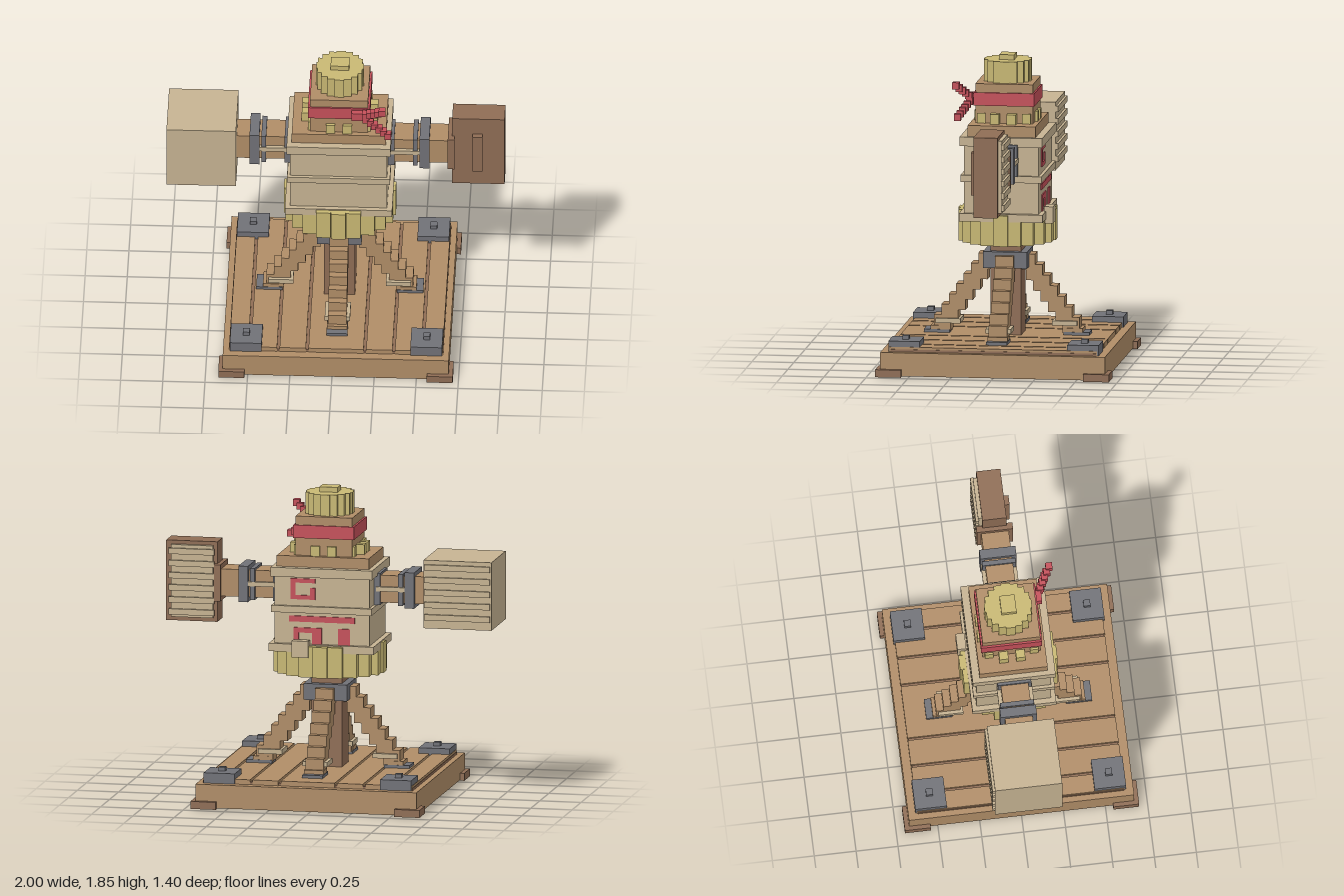
import * as THREE from 'three';

const mat = (name, color) => {
  const m = new THREE.MeshStandardMaterial({ color });
  m.name = name;
  return m;
};

export function createModel() {
  const wood = mat('wood', 0xb08d67);
  const darkWood = mat('dark wood', 0x8f6d55);
  const cloth = mat('cloth', 0xc6b392);
  const straw = mat('straw', 0xc8b873);
  const iron = mat('iron', 0x707177);
  const red = mat('red', 0xc5505a);

  const model = new THREE.Group();
  model.name = 'trainingDummy';
  const dummy = new THREE.Group(); // everything is built around its own axis
  dummy.name = 'dummy';
  dummy.position.x = 0.022;
  model.add(dummy);

  const group = (name, parent = dummy) => {
    const g = new THREE.Group();
    g.name = name;
    parent.add(g);
    return g;
  };
  // box given by its limits on each axis
  const box = (name, m, x0, x1, y0, y1, z0, z1, parent = dummy) => {
    const mesh = new THREE.Mesh(new THREE.BoxGeometry(x1 - x0, y1 - y0, z1 - z0), m);
    mesh.position.set((x0 + x1) / 2, (y0 + y1) / 2, (z0 + z1) / 2);
    mesh.name = name;
    parent.add(mesh);
    return mesh;
  };
  // box centred on the axis with half sizes
  const block = (name, m, hx, y0, y1, hz, parent) => box(name, m, -hx, hx, y0, y1, -hz, hz, parent);

  // base with planks, corner feet and studded plates
  const base = group('base');
  block('baseFrame', wood, 0.67, 0.005, 0.145, 0.672, base);
  block('plankBed', darkWood, 0.635, 0.145, 0.16, 0.615, base);
  const edges = [-0.64, -0.513, -0.342, -0.171, 0, 0.171, 0.342, 0.513, 0.64];
  for (let i = 0; i < 8; i++) {
    if (i === 4) continue;
    const x1 = i === 3 ? edges[5] : edges[i + 1];
    box('plank', wood, edges[i] + 0.008, x1 - 0.008, 0.145, 0.174, -0.62, 0.62, base);
  }
  for (const sx of [-1, 1]) for (const sz of [-1, 1]) {
    const c = group('baseCorner', base);
    c.position.set(sx * 0.535, 0, sz * 0.535);
    const f = block('cornerFoot', darkWood, 0.077, 0, 0.045, 0.077, c);
    f.position.x = sx * 0.083;
    f.position.z = sz * 0.087;
    block('cornerPlate', iron, 0.094, 0.146, 0.208, 0.094, c);
    block('cornerStud', iron, 0.02, 0.208, 0.232, 0.02, c);
  }

  // post with iron collars
  block('post', darkWood, 0.092, 0.16, 0.82, 0.092);
  block('postCollar', iron, 0.132, 0.578, 0.676, 0.132);
  block('hipCollar', iron, 0.1, 0.8, 0.9, 0.1);

  // four stepped struts
  for (let k = 0; k < 4; k++) {
    const s = group('strut');
    s.rotation.y = k * Math.PI / 2;
    const steps = 7;
    for (let i = 0; i < steps; i++) {
      const t = i / (steps - 1);
      const z = 0.12 + 0.265 * t, y = 0.605 - 0.375 * t;
      box('strutStep', wood, -0.055, 0.055, y - 0.045, y + 0.05, z - 0.05, z + 0.05, s);
    }
    box('strutWrap', cloth, -0.075, 0.075, 0.232, 0.26, 0.275, 0.422, s);
    box('strutFoot', wood, -0.06, 0.06, 0.17, 0.215, 0.36, 0.455, s);
    box('strutShoe', iron, -0.062, 0.062, 0.17, 0.192, 0.34, 0.495, s);
  }

  // ring of straw bundles on an oval
  const strawRing = (name, n, rx, rz, y0, y1, h, jag) => {
    const g = group(name);
    for (let i = 0; i < n; i++) {
      const a = (i / n) * Math.PI * 2;
      const x = Math.cos(a) * rx, z = Math.sin(a) * rz;
      box('strawBundle', straw, x - h, x + h, y0 + (i % 2) * jag, y1, z - h, z + h, g);
    }
  };
  strawRing('strawSkirt', 20, 0.288, 0.247, 0.74, 0.925, 0.044, 0);
  strawRing('strawSkirtInner', 14, 0.2, 0.17, 0.8, 0.92, 0.04, 0.03);

  // torso with bands
  block('torso', cloth, 0.287, 0.89, 1.37, 0.223);
  block('lowerBand', cloth, 0.318, 0.885, 0.932, 0.25);
  block('middleBand', cloth, 0.305, 1.12, 1.16, 0.243);
  block('upperBand', cloth, 0.308, 1.335, 1.39, 0.247);
  block('shoulders', wood, 0.279, 1.37, 1.455, 0.203);
  box('backPatch', cloth, 0.07, 0.17, 0.86, 0.96, -0.293, -0.24);

  // painted marks on the back
  const marks = group('backMarks');
  const paint = (x0, x1, y0, y1) => box('mark', red, x0, x1, y0, y1, -0.231, -0.222, marks);
  paint(0.04, 0.19, 1.3, 1.325);
  paint(0.16, 0.19, 1.2, 1.3);
  paint(0.04, 0.16, 1.2, 1.225);
  paint(0.04, 0.07, 1.225, 1.27);
  paint(-0.2, 0.2, 1.065, 1.1);
  paint(0, 0.17, 1.0, 1.03);
  paint(0.14, 0.17, 0.932, 1.0);
  paint(0, 0.06, 0.932, 1.0);
  paint(-0.17, -0.1, 0.932, 1.03);

  // head, headband and straw top
  block('head', wood, 0.172, 1.45, 1.69, 0.172);
  const tufts = group('neckTufts');
  for (const u of [-0.05, 0.05]) for (const s of [-1, 1]) {
    box('tuft', straw, u - 0.027, u + 0.027, 1.455, 1.515, s * 0.17 - 0.02, s * 0.17 + 0.02, tufts);
    box('tuft', straw, s * 0.2 - 0.025, s * 0.2 + 0.025, 1.455, 1.515, u - 0.027, u + 0.027, tufts);
    box('tuft', straw, s * 0.16 - 0.025, s * 0.16 + 0.025, 1.455, 1.515, u * 2.7 - 0.025, u * 2.7 + 0.025, tufts);
  }
  block('headband', red, 0.184, 1.56, 1.638, 0.182);
  strawRing('strawTop', 16, 0.113, 0.113, 1.685, 1.818, 0.028, 0);
  block('strawTopCore', straw, 0.09, 1.685, 1.818, 0.09);
  block('strawTopCap', straw, 0.055, 1.818, 1.848, 0.045);

  // knot and two loose ends
  const knot = group('headbandKnot');
  box('knot', red, 0.075, 0.145, 1.572, 1.625, 0.17, 0.213, knot);
  const knotStart = new THREE.Vector3(0.135, 1.598, 0.195);
  for (const [x, y, z, n] of [[0.26, 1.69, 0.275, 5], [0.293, 1.507, 0.26, 6]]) {
    const end = new THREE.Vector3(x, y, z);
    for (let i = 1; i <= n; i++) {
      const p = knotStart.clone().lerp(end, i / n), h = 0.02;
      box('knotTail', red, p.x - h, p.x + h, p.y - h, p.y + h, p.z - h, p.z + h, knot);
    }
  }

  // mirrored arms with iron rings and cloth ties
  for (const s of [-1, 1]) {
    const arm = group(s > 0 ? 'leftArm' : 'rightArm');
    const part = (name, m, a, b, hy, hz, y = 1.255) =>
      box(name, m, Math.min(s * a, s * b), Math.max(s * a, s * b), y - hy, y + hy, -hz, hz, arm);
    part('armBeam', wood, 0.27, 0.65, 0.082, 0.082);
    part('shoulderRing', iron, 0.285, 0.325, 0.095, 0.1);
    part('innerRing', iron, 0.435, 0.463, 0.095, 0.1);
    part('outerRing', iron, 0.475, 0.533, 0.108, 0.108);
    for (const z of [-1, 1])
      box('armTie', cloth, Math.min(s * 0.3, s * 0.48), Math.max(s * 0.3, s * 0.48),
        1.243, 1.27, z * 0.092 - 0.013, z * 0.092 + 0.013, arm);
  }

  // padded block on the right arm, ridged at the back
  const pad = group('padBlock');
  box('pad', cloth, -1.022, -0.61, 1.05, 1.46, -0.2, 0.2, pad);
  for (let i = 0; i < 5; i++) {
    const y = 1.1 + i * 0.075;
    box('padRidge', cloth, -1.015, -0.617, y, y + 0.035, -0.215, -0.19, pad);
  }

  // shield on the left arm with front grip and slatted back
  const shield = group('shield');
  box('shieldBoard', darkWood, 0.667, 0.978, 1.015, 1.497, -0.072, 0.072, shield);
  box('shieldMount', darkWood, 0.642, 0.682, 1.145, 1.365, -0.108, 0.108, shield);
  box('shieldGrip', darkWood, 0.788, 0.847, 1.13, 1.385, 0.06, 0.105, shield);
  box('shieldBacking', cloth, 0.69, 0.945, 1.04, 1.475, -0.095, -0.06, shield);
  for (let i = 0; i < 6; i++) {
    const y = 1.055 + i * 0.073;
    box('shieldSlat', cloth, 0.68, 0.957, y, y + 0.035, -0.11, -0.09, shield);
  }
  return model;
}
